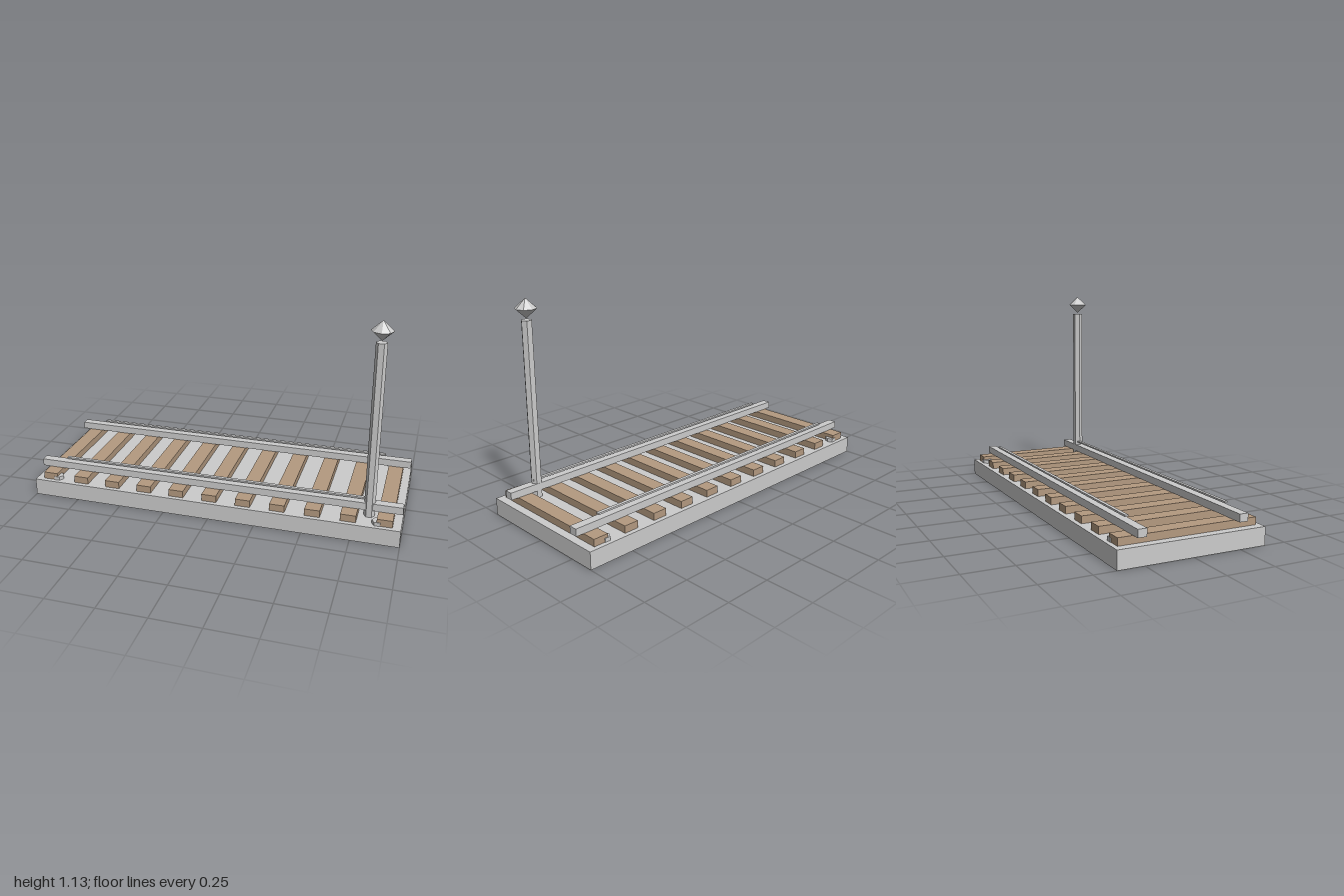
import * as THREE from 'three';

export function createModel() {
  const model = new THREE.Group();
  model.name = 'trackSection';
  const grey = new THREE.MeshStandardMaterial({ color: 0xcccccc, flatShading: true });
  const wood = new THREE.MeshStandardMaterial({ color: 0xb49a80, flatShading: true });

  const add = (name, geometry, x, y, z, material = grey) => {
    const mesh = new THREE.Mesh(geometry, material);
    mesh.name = name;
    mesh.position.set(x, y, z);
    model.add(mesh);
    return mesh;
  };
  // Box placed by its bottom height
  const box = (name, w, h, d, x, bottom, z, material) =>
    add(name, new THREE.BoxGeometry(w, h, d), x, bottom + h / 2, z, material);
  // Hexagonal column with corners on the x axis
  const hex = (name, r, h, x, bottom, z) => {
    const geometry = new THREE.CylinderGeometry(r, r, h, 6).rotateY(Math.PI / 6);
    return add(name, geometry, x, bottom + h / 2, z);
  };

  const baseTop = 0.092, tieTop = 0.13;

  // Bed and cross ties
  box('bed', 2, baseTop, 0.776, 0, 0, 0);
  for (let i = 0; i < 11; i++) {
    box('tie', 0.08, tieTop - baseTop, 0.728, (i - 5) * 0.1835, baseTop, 0, wood);
  }

  // Rails, thin strips floating over them, and anchor bolts
  for (const side of [-1, 1]) {
    const z = side * 0.265;
    box('rail', 2, 0.039, 0.046, 0, tieTop, z);
    box('railStrip', 1.71, 0.009, 0.018, 0, 0.183, z);
    for (const end of [-1, 1]) {
      hex('anchorBolt', 0.029, 0.02, end * 0.88, baseTop, side * 0.342);
    }
  }

  // Signal post with a faceted lamp hovering above it
  hex('post', 0.0285, 1.02 - baseTop, 0.83, baseTop, 0.268);
  const lamp = add('lamp', new THREE.SphereGeometry(0.056, 8, 2), 0.83, 1.078, 0.268);
  lamp.scale.y = 0.9;

  return model;
}
